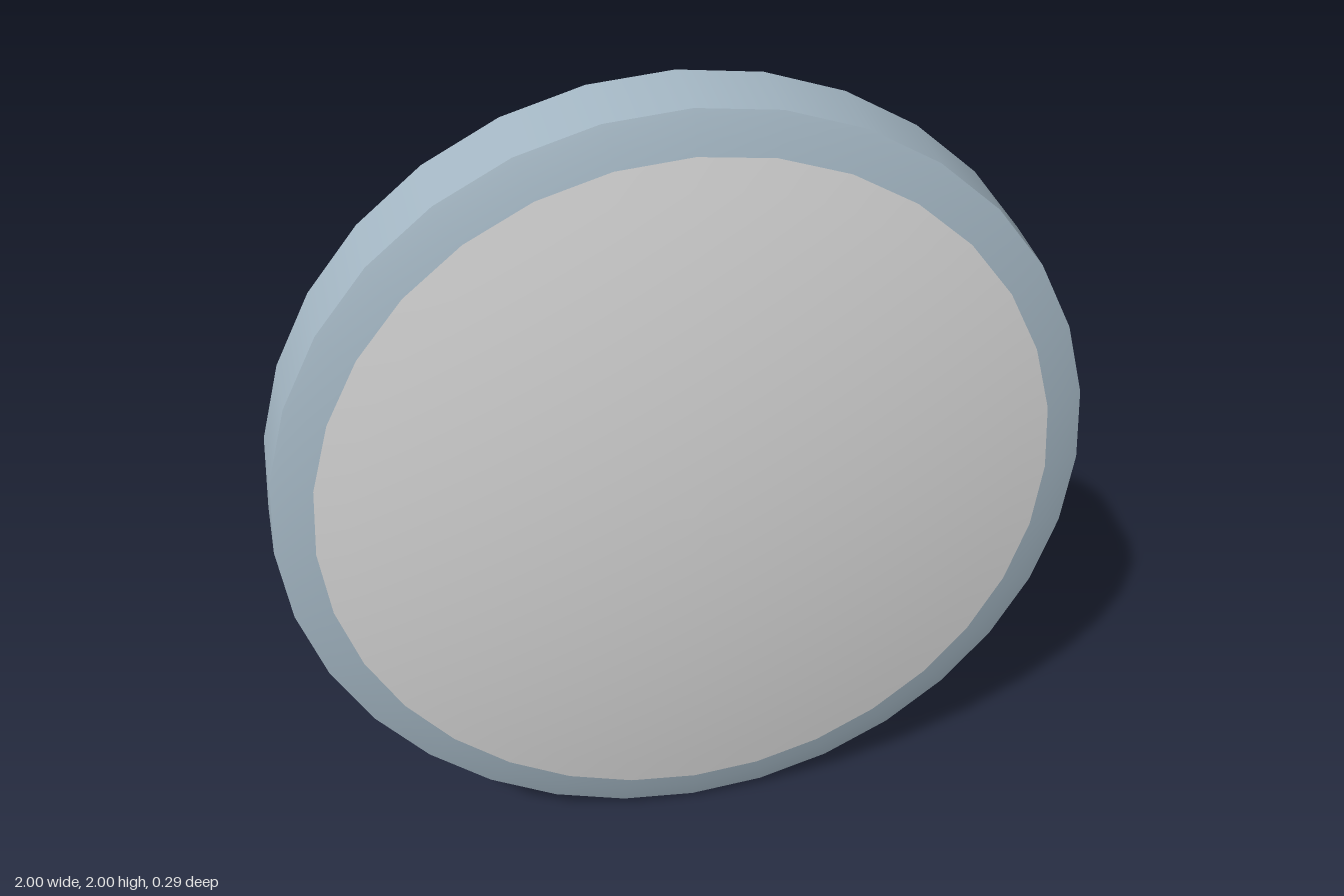
import * as THREE from 'three';

const SIDES = 32;
const BACK = -0.145, FRONT = 0.045, PLATE = -0.005, HUB = -0.13;

const material = (name, color) => {
  const m = new THREE.MeshStandardMaterial({ color });
  m.name = name;
  return m;
};

export function createModel() {
  const group = new THREE.Group();
  const rimBlue = material('rimBlue', 0xa5b8c5);
  const innerBlue = material('innerBlue', 0x68779b);
  const faceWhite = material('faceWhite', 0xd8d8d8);
  const backBlack = material('backBlack', 0x1c1c1c);

  const add = (name, geometry, mat) => {
    const mesh = new THREE.Mesh(geometry, mat);
    mesh.name = name;
    group.add(mesh);
    return mesh;
  };

  // Surface of revolution about z from [radius, z] points
  const turn = (name, points, mat) => add(
    name,
    new THREE.LatheGeometry(points.map(([r, z]) => new THREE.Vector2(r, z)), SIDES).rotateX(Math.PI / 2),
    mat
  );

  // Rim, one piece per crisp band
  turn('innerWall', [[0.95, PLATE], [0.96, BACK]], innerBlue);
  turn('backLip', [[0.96, BACK], [1, BACK]], rimBlue);
  turn('outerWall', [[1, BACK], [0.985, FRONT]], rimBlue);
  turn('frontBezel', [[0.985, FRONT], [0.97, 0.05], [0.93, 0.062], [0.89, 0.072]], rimBlue);

  // Domed front panel
  const dome = [];
  for (let i = 0; i <= 12; i++) {
    const t = 1 - i / 12;
    dome.push([0.89 * t, 0.145 - 0.073 * t * t]);
  }
  turn('frontDome', dome, faceWhite);

  // Recessed back plate and raised hub
  turn('backPlate', [[0, PLATE], [0.952, PLATE]], backBlack);
  turn('hubWall', [[0.457, HUB], [0.457, PLATE]], backBlack);

  // Hub face with a teardrop hanging hole
  const face = new THREE.Shape().absarc(0, 0, 0.457, 0, Math.PI * 2, false);
  const hole = new THREE.Path();
  hole.moveTo(0, 0.405);
  hole.bezierCurveTo(0.012, 0.37, 0.024, 0.36, 0.024, 0.345);
  hole.absarc(0, 0.345, 0.024, 0, -Math.PI, true);
  hole.bezierCurveTo(-0.024, 0.36, -0.012, 0.37, 0, 0.405);
  face.holes.push(hole);
  add('hubFace', new THREE.ShapeGeometry(face, 16).rotateY(Math.PI), backBlack).position.set(0, 1, HUB);

  // Slotted screw: two half discs either side of a diagonal gap
  const half = new THREE.Shape().absarc(0, 0, 0.045, 0, Math.PI, false);
  half.closePath();
  for (const side of [0, 1]) {
    const geometry = new THREE.ExtrudeGeometry(half, { depth: 0.014, bevelEnabled: false, curveSegments: 8 });
    geometry.translate(0, 0.006, 0).rotateZ(side * Math.PI + 0.7);
    add('screwHalf', geometry, backBlack).position.set(-0.06, -0.285 + 1, HUB - 0.012);
  }

  // Stand the disc on the ground
  group.children.forEach((part) => {
    if (part.position.y === 0) part.position.y = 1;
  });
  return group;
}
